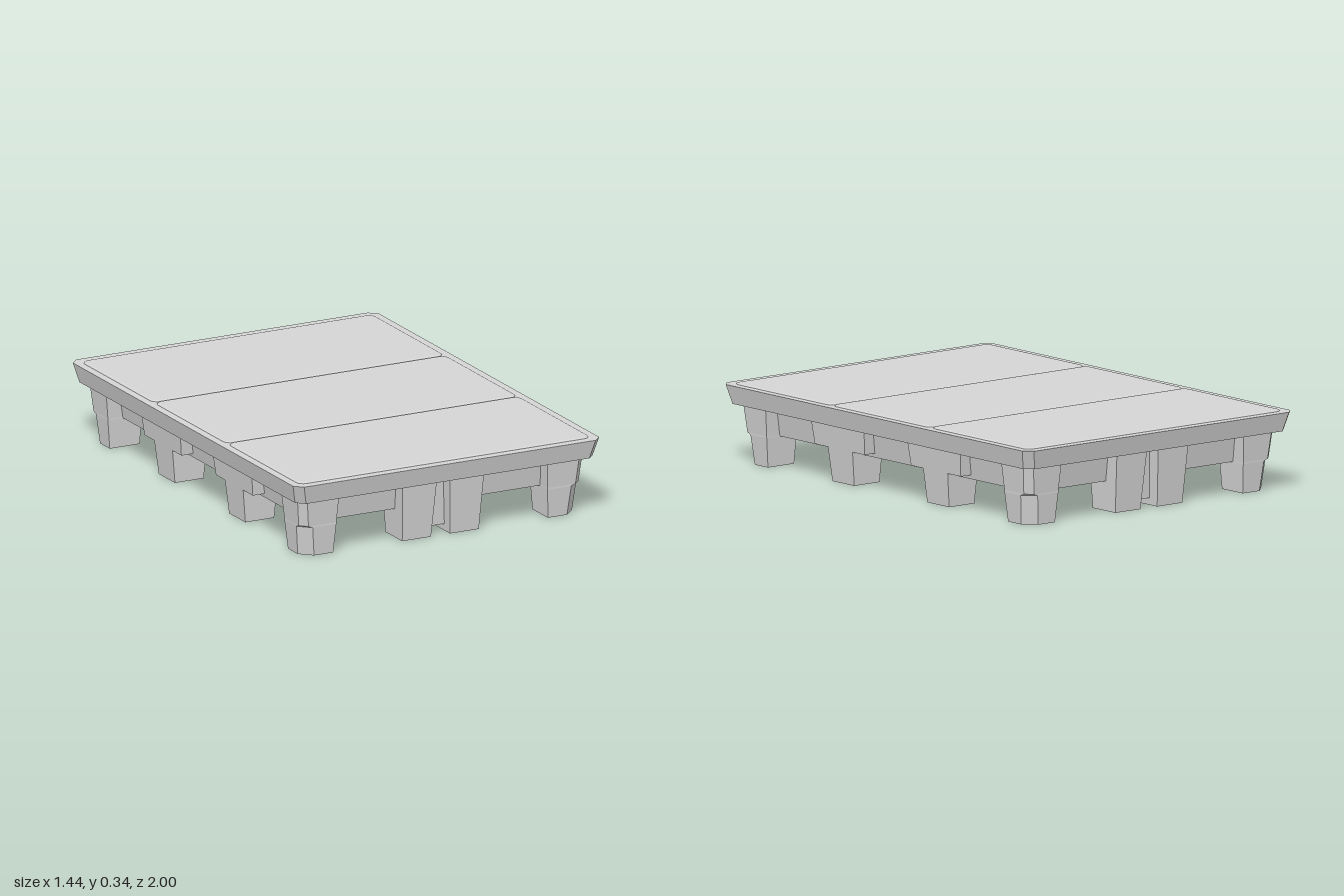
import * as THREE from 'three';

const grey = new THREE.MeshStandardMaterial({ color: 0xd4d4d4 });
grey.name = 'greyPlastic';

// Rectangle outline in xz, counter-clockwise from above, each corner optionally cut
function rect(x0, x1, z0, z1, cuts = [0, 0, 0, 0]) {
  const corners = [[x0, z0], [x0, z1], [x1, z1], [x1, z0]];
  return corners.flatMap((p, i) => {
    const c = cuts[i];
    if (!c) return [p];
    const toward = (q) => {
      const d = Math.hypot(q[0] - p[0], q[1] - p[1]);
      return [p[0] + (q[0] - p[0]) * c / d, p[1] + (q[1] - p[1]) * c / d];
    };
    return [toward(corners[(i + 3) % 4]), toward(corners[(i + 1) % 4])];
  });
}

// Faceted solid through [y, outline] sections listed from the top down
function loft(sections) {
  const pos = [];
  const tri = (...pts) => pts.forEach(([y, p]) => pos.push(p[0], y, p[1]));
  const n = sections[0][1].length;
  for (let s = 0; s < sections.length - 1; s++) {
    const [ya, a] = sections[s], [yb, b] = sections[s + 1];
    for (let i = 0; i < n; i++) {
      const j = (i + 1) % n;
      tri([ya, a[i]], [yb, b[i]], [yb, b[j]]);
      tri([ya, a[i]], [yb, b[j]], [ya, a[j]]);
    }
  }
  const [yt, t] = sections[0], [ye, e] = sections[sections.length - 1];
  for (let i = 1; i < n - 1; i++) {
    tri([yt, t[0]], [yt, t[i]], [yt, t[i + 1]]);
    tri([ye, e[0]], [ye, e[i + 1]], [ye, e[i]]);
  }
  const g = new THREE.BufferGeometry();
  g.setAttribute('position', new THREE.Float32BufferAttribute(pos, 3));
  g.computeVertexNormals();
  return g;
}

// Range mirrored to the given side, kept in ascending order
const span = (sign, lo, hi) => (sign > 0 ? [lo, hi] : [-hi, -lo]);

export function createModel() {
  const model = new THREE.Group();
  model.name = 'pallet';
  const add = (name, geometry) => {
    const mesh = new THREE.Mesh(geometry, grey);
    mesh.name = name;
    model.add(mesh);
    return mesh;
  };
  const DECK = 0.252, RIB = 0.127;

  // Deck slab with cut corners and tapered rim
  const cut = [0.034, 0.034, 0.034, 0.034];
  add('deck', loft([
    [0.333, rect(-0.72, 0.72, -1, 1, cut)],
    [DECK, rect(-0.7, 0.7, -0.98, 0.98, cut)],
  ]));

  // Three raised top panels with rounded corners and softened edges
  const bevel = 0.014, w = 0.685 - bevel, d = 0.318 - bevel, r = 0.02;
  const shape = new THREE.Shape();
  shape.absarc(w - r, d - r, r, 0, Math.PI / 2);
  shape.absarc(-w + r, d - r, r, Math.PI / 2, Math.PI);
  shape.absarc(-w + r, -d + r, r, Math.PI, Math.PI * 1.5);
  shape.absarc(w - r, -d + r, r, Math.PI * 1.5, Math.PI * 2);
  const panel = new THREE.ExtrudeGeometry(shape, {
    depth: 0.004, bevelThickness: 0.005, bevelSize: bevel, bevelSegments: 4, curveSegments: 6,
  });
  panel.rotateX(-Math.PI / 2);
  for (const i of [-1, 0, 1]) {
    add('topPanel', panel).position.set(0, 0.33, i * 0.642);
  }

  // Six hollow blocks under the deck, each with a tapered pocket
  for (const sx of [-1, 1]) {
    for (const iz of [-1, 0, 1]) {
      const cx = sx * 0.315, cz = iz * 0.6;
      const box = (hx, hz) => rect(cx - hx, cx + hx, cz - hz, cz + hz);
      add('pocketBlock', loft([
        [DECK, box(0.295, 0.285)],
        [RIB, box(0.272, 0.262)],
        [RIB, box(0.165, 0.16)],
        [0.235, box(0.105, 0.1)],
      ]));
    }
  }

  // Legs
  for (const sx of [-1, 1]) {
    for (const sz of [-1, 1]) {
      // Corner leg, with a deeper corner cut on its lower half
      const outer = sx < 0 ? (sz < 0 ? 0 : 1) : (sz > 0 ? 2 : 3);
      const corner = (inset, c) => rect(
        ...span(sx, 0.49 + inset * 0.6, 0.67 - inset),
        ...span(sz, 0.767 + inset * 0.6, 0.942 - inset),
        [0, 1, 2, 3].map((i) => (i === outer ? c : 0)));
      add('cornerLeg', loft([
        [DECK, corner(0, 0.03)],
        [0.134, corner(0.012, 0.03)],
        [0.126, corner(0.012, 0.05)],
        [0, corner(0.025, 0.05)],
      ]));

      // T-shaped side leg: a wide shoulder with the foot flush below it
      add('sideShoulder', loft([
        [DECK, rect(...span(sx, 0.475, 0.658), ...span(sz, 0.14, 0.487))],
        [0.145, rect(...span(sx, 0.484, 0.646), ...span(sz, 0.152, 0.475))],
      ]));
      add('sideFoot', loft([
        [0.145, rect(...span(sx, 0.484, 0.646), ...span(sz, 0.23, 0.39))],
        [0, rect(...span(sx, 0.495, 0.63), ...span(sz, 0.238, 0.38))],
      ]));

      // Twin legs at the middle of each end
      add('endLeg', loft([
        [DECK, rect(...span(sx, 0.03, 0.192), ...span(sz, 0.757, 0.942))],
        [0, rect(...span(sx, 0.045, 0.18), ...span(sz, 0.77, 0.917))],
      ]));
    }
  }

  // Web joining each pair of end legs
  for (const sz of [-1, 1]) {
    add('endWeb', loft([
      [DECK, rect(-0.05, 0.05, ...span(sz, 0.8, 0.885))],
      [0.03, rect(-0.06, 0.06, ...span(sz, 0.81, 0.87))],
    ]));
  }

  // Centre leg
  add('centreLeg', loft([
    [DECK, rect(-0.098, 0.098, -0.092, 0.092)],
    [0, rect(-0.07, 0.07, -0.068, 0.068)],
  ]));

  return model;
}
